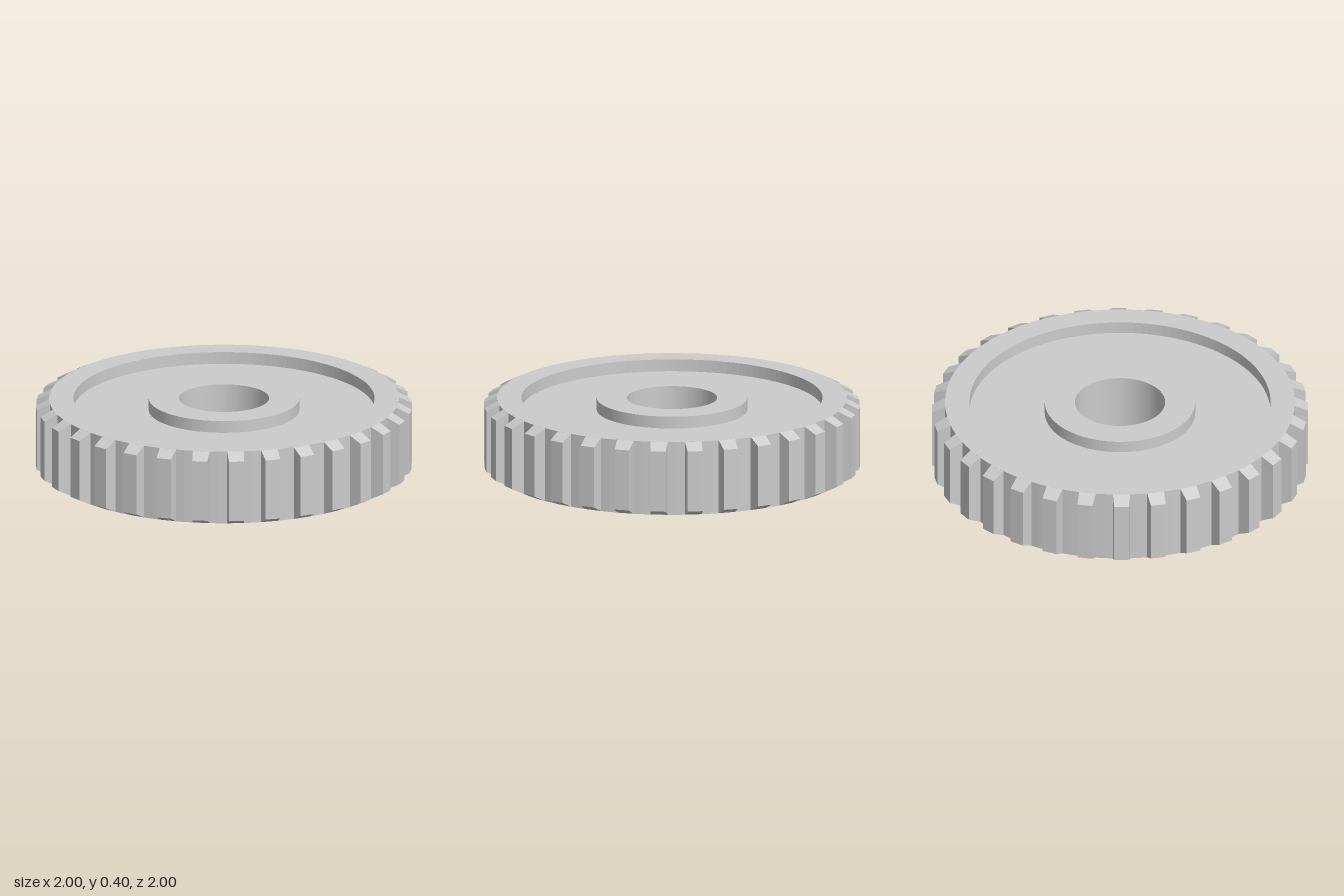
import * as THREE from 'three';

const TEETH = 32, STEP = (Math.PI * 2) / TEETH;
const HEIGHT = 0.4, RECESS = 0.065;
const BORE = 0.24, HUB = 0.4, RIM = 0.8, ROOT = 0.93, TIP = 1;

// Ring surface turned from [radius, height] pairs; four facets per tooth
function turned(name, profile, material) {
  const points = profile.map(([r, y]) => new THREE.Vector2(r, y));
  const mesh = new THREE.Mesh(new THREE.LatheGeometry(points, TEETH * 4), material);
  mesh.name = name;
  return mesh;
}

// Tapered tooth pointing along +x, with sloped ends above and below
function toothGeometry() {
  const geo = new THREE.BoxGeometry(1, 1, 1);
  const pos = geo.attributes.position;
  for (let i = 0; i < pos.count; i++) {
    const outer = pos.getX(i) > 0;
    const radius = outer ? TIP : ROOT;
    const angle = Math.sign(pos.getZ(i)) * (outer ? 0.04 : STEP / 4);
    const y = HEIGHT / 2 + Math.sign(pos.getY(i)) * (HEIGHT / 2 - (outer ? 0.035 : 0));
    pos.setXYZ(i, radius * Math.cos(angle), y, radius * Math.sin(angle));
  }
  // Drop the inner face, which is buried against the rim
  const index = Array.from(geo.index.array);
  index.splice(6, 6);
  geo.setIndex(index);
  geo.clearGroups();
  geo.computeVertexNormals();
  return geo;
}

export function createModel() {
  const model = new THREE.Group();
  model.name = 'gear';
  const material = new THREE.MeshStandardMaterial({ color: 0xcccccc, flatShading: true });
  const low = RECESS, high = HEIGHT - RECESS;

  // Raised outer rim
  model.add(turned('rim', [
    [RIM, low], [RIM, 0], [ROOT, 0], [ROOT, HEIGHT], [RIM, HEIGHT], [RIM, high],
  ], material));

  // Recessed web, upper and lower faces
  model.add(turned('webTop', [[RIM, high], [HUB, high]], material));
  model.add(turned('webBottom', [[HUB, low], [RIM, low]], material));

  // Raised hub with the shaft bore
  model.add(turned('hub', [
    [HUB, high], [HUB, HEIGHT], [BORE, HEIGHT], [BORE, 0], [HUB, 0], [HUB, low],
  ], material));

  // Ring of teeth
  const teeth = new THREE.Group();
  teeth.name = 'teeth';
  const geo = toothGeometry();
  for (let i = 0; i < TEETH; i++) {
    const tooth = new THREE.Mesh(geo, material);
    tooth.name = 'tooth';
    tooth.rotation.y = (i + 0.25) * STEP;
    teeth.add(tooth);
  }
  model.add(teeth);
  return model;
}
